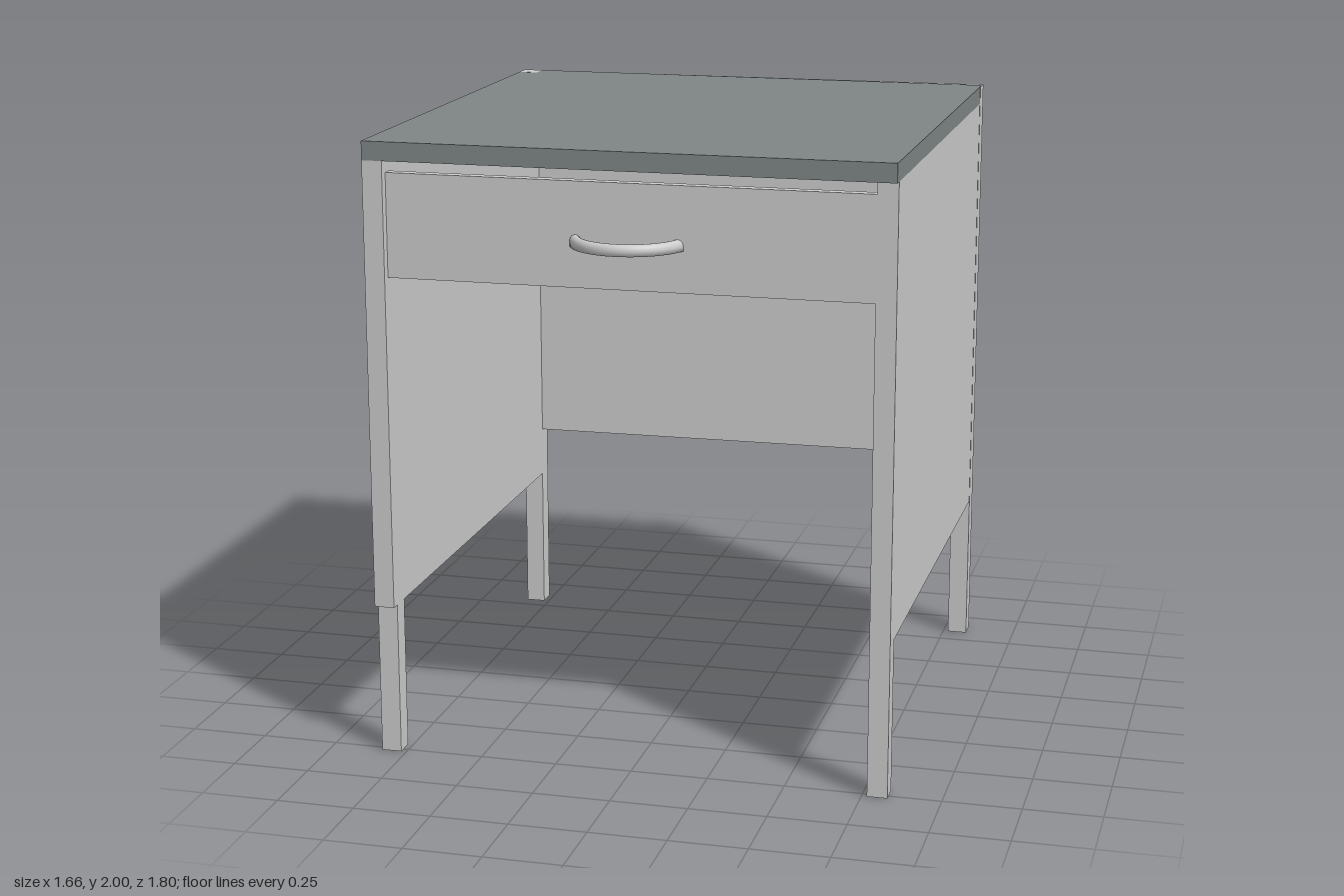
import * as THREE from 'three';

const grey = new THREE.MeshStandardMaterial({ color: 0xcccccc });
const slate = new THREE.MeshStandardMaterial({ color: 0x7f8686 });

const W = 0.832, T = 0.065, IN = W - T; // half width, board thickness, inner half width
const TOP = 2, SLAB = 1.94, SKIRT = 0.5, SHIFT = 0.03;

export function createModel() {
  const group = new THREE.Group();
  group.name = 'deskCabinet';

  const add = (name, geometry, material = grey) => {
    const mesh = new THREE.Mesh(geometry, material);
    mesh.name = name;
    group.add(mesh);
    return mesh;
  };

  // Box given by its lower and upper limits on each axis
  const box = (name, [x0, x1], [y0, y1], [z0, z1]) => {
    const g = new THREE.BoxGeometry(x1 - x0, y1 - y0, z1 - z0);
    g.translate((x0 + x1) / 2, (y0 + y1) / 2, (z0 + z1) / 2);
    return add(name, g);
  };

  // Board with a plan outline of [x, z] points, raised from y0 to y1
  const board = (name, outline, y0, y1, material) => {
    const shape = new THREE.Shape(outline.map(([x, z]) => new THREE.Vector2(x, -z)));
    const g = new THREE.ExtrudeGeometry(shape, { depth: y1 - y0, bevelEnabled: false });
    g.rotateX(-Math.PI / 2).translate(0, y0, 0);
    return add(name, g, material);
  };

  // Table top, notched round the back post on the right
  board('tableTop', [
    [-W, 0.8], [W, 0.8], [W, -0.87], [-IN, -0.87], [-IN, -0.8], [-W, -0.8],
  ], SLAB, TOP, slate);

  // Side panels with their legs; the right side sits slightly further forward
  for (const side of [1, -1]) {
    const label = side > 0 ? 'left' : 'right';
    const shift = side > 0 ? 0 : SHIFT;
    const x = side > 0 ? [IN, W] : [-W, -IN];
    const post = side > 0 ? [IN, W + 0.001] : x;
    box(label + 'SidePanel', x, [SKIRT, SLAB], [-0.833 + shift, 0.77 + shift]);
    box(label + 'FrontLeg', x, [0, SKIRT], [0.705, 0.77]);
    box(label + 'BackPost', post, [0, side > 0 ? TOP - 0.001 : TOP], [-0.9 + shift, -0.833 + shift]);
  }

  // Back panel, set slightly askew between the two posts
  board('backPanel', [
    [-IN, -0.871], [-IN, -0.81], [IN, -0.835], [IN, -0.896],
  ], 0.67, TOP - 0.001);

  // Drawer front, with an open gap under the table top
  box('drawerFront', [-IN, IN], [1.57, 1.9], [0.735, 0.77]);

  // Bow handle: a domed, flat-bottomed section swept through an arc
  const R = 0.17, r = 0.0175, profile = [new THREE.Vector2(R - r, 0)];
  profile.push(new THREE.Vector2(R + r, 0));
  for (let i = 0; i <= 10; i++) {
    const a = (i / 10) * Math.PI;
    profile.push(new THREE.Vector2(R + r * Math.cos(a), 0.015 + 0.02 * Math.sin(a)));
  }
  profile.push(new THREE.Vector2(R - r, 0));
  const handle = add('drawerHandle', new THREE.LatheGeometry(profile, 32, -1.3, 2.6));
  handle.position.set(0, 1.7, 0.713);

  return group;
}
